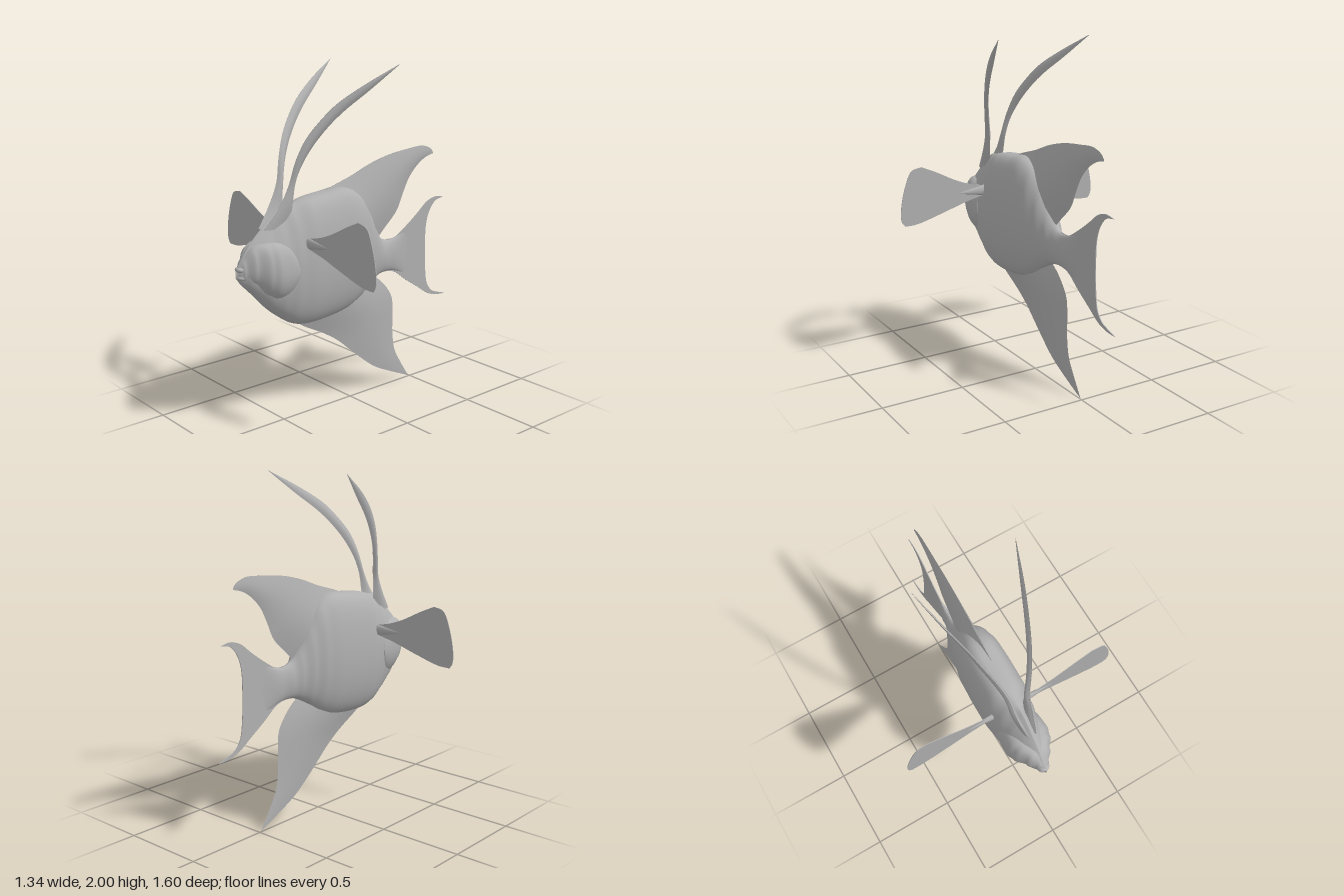
import * as THREE from 'three';

const grey = new THREE.MeshStandardMaterial({ color: 0xb0b0b0, side: THREE.DoubleSide });
grey.name = 'plain grey';

const curve = (pts) => new THREE.CatmullRomCurve3(pts.map((p) => new THREE.Vector3(...p)), false, 'centripetal');

function mesh(name, geometry) {
  const m = new THREE.Mesh(geometry, grey);
  m.name = name;
  return m;
}

// Smooth grid surface from a rule fn(u, v) -> [x, y, z]
function surface(nu, nv, fn, wrap = false) {
  const pos = [], idx = [], cols = wrap ? nv : nv + 1;
  for (let i = 0; i <= nu; i++) {
    for (let j = 0; j < cols; j++) pos.push(...fn(i / nu, j / nv));
  }
  for (let i = 0; i < nu; i++) {
    for (let j = 0; j < nv; j++) {
      const k = (j + 1) % cols;
      const a = i * cols + j, b = i * cols + k, c = a + cols, d = b + cols;
      idx.push(a, b, c, b, d, c);
    }
  }
  const g = new THREE.BufferGeometry();
  g.setAttribute('position', new THREE.Float32BufferAttribute(pos, 3));
  g.setIndex(idx);
  g.computeVertexNormals();
  return g;
}

// Loft along z; each section: [z, top, bottom, halfWidth, upper roundness power]
function loft(name, sections) {
  const a = curve(sections.map((s) => [s[0], s[1], s[2]]));
  const lerp = (t, k) => {
    const f = t * (sections.length - 1), i = Math.min(Math.floor(f), sections.length - 2);
    const e = f - i, s = e * e * (3 - 2 * e);
    return sections[i][k] * (1 - s) + sections[i + 1][k] * s;
  };
  return mesh(name, surface(72, 48, (u, v) => {
    const p = a.getPoint(u), w = lerp(u, 3), th = v * Math.PI * 2;
    const c = Math.cos(th), s = Math.sin(th);
    const power = s > 0 ? lerp(u, 4) : 0.85;
    const x = Math.sign(c) * w * Math.pow(Math.abs(c), power);
    return [x, (p.y + p.z) / 2 + s * (p.y - p.z) / 2, p.x];
  }, true));
}

// Blade between a leading and a trailing edge, lens-shaped across, thinning to its tip
function blade(name, lead, trail, thick, fade) {
  const group = new THREE.Group();
  group.name = name;
  const a = curve(lead), b = curve(trail);
  for (const side of [1, -1]) {
    group.add(mesh(name + 'Side', surface(40, 12, (u, v) => {
      const p = a.getPoint(u).lerp(b.getPoint(u), v);
      const t = thick * Math.pow(1 - u, fade) * Math.sin(Math.PI * v);
      return [p.x + side * (t + 0.001), p.y, p.z];
    })));
  }
  return group;
}

// Thin flat plate from an outline made of smooth runs that meet at corners
function plate(name, runs, depth) {
  const pts = [];
  for (const run of runs) {
    curve(run.map(([x, y]) => [x, y, 0])).getPoints(run.length * 4)
      .forEach((p) => pts.push(new THREE.Vector2(p.x, p.y)));
  }
  const clean = pts.filter((p, i) => i === 0 || p.distanceTo(pts[i - 1]) > 1e-4);
  const g = new THREE.ExtrudeGeometry(new THREE.Shape(clean), { depth, bevelEnabled: false });
  g.translate(0, 0, -depth / 2);
  return mesh(name, g);
}

export function createModel() {
  const model = new THREE.Group();
  model.name = 'fish';
  const zy = (pts) => pts.map(([z, y]) => [0, y, z]);

  // Deep, flattened body running into the tail stalk
  model.add(loft('body', [
    [0.8, 0.94, 0.9, 0.004, 1],
    [0.77, 0.99, 0.86, 0.03, 1.2],
    [0.72, 1.06, 0.81, 0.06, 1.6],
    [0.6, 1.175, 0.685, 0.1, 1.9],
    [0.52, 1.235, 0.62, 0.115, 1.8],
    [0.44, 1.255, 0.57, 0.13, 1.1],
    [0.34, 1.28, 0.55, 0.142, 0.7],
    [0.2, 1.295, 0.555, 0.142, 0.65],
    [0.07, 1.305, 0.575, 0.137, 0.65],
    [-0.03, 1.26, 0.615, 0.12, 0.7],
    [-0.11, 1.16, 0.67, 0.092, 0.8],
    [-0.18, 1.03, 0.715, 0.065, 0.9],
    [-0.24, 0.95, 0.735, 0.045, 1],
    [-0.32, 0.93, 0.735, 0.026, 1],
    [-0.48, 0.98, 0.68, 0.001, 1],
  ]));

  // Cheeks ending in raised gill covers
  model.add(loft('gillCovers', [
    [0.795, 0.95, 0.9, 0.004, 0.8],
    [0.76, 1.0, 0.865, 0.04, 0.7],
    [0.71, 1.06, 0.84, 0.078, 0.55],
    [0.64, 1.08, 0.77, 0.122, 0.5],
    [0.59, 1.082, 0.74, 0.138, 0.5],
    [0.53, 1.075, 0.73, 0.135, 0.5],
    [0.485, 1.04, 0.76, 0.133, 0.5],
    [0.466, 0.97, 0.83, 0.13, 0.6],
    [0.464, 0.93, 0.89, 0.1, 0.7],
  ]));

  // Lips
  for (const [y, z] of [[0.945, 0.772], [0.9, 0.768]]) {
    const lip = mesh('lip', new THREE.SphereGeometry(1, 20, 12));
    lip.scale.set(0.032, 0.018, 0.028);
    lip.position.set(0, y, z);
    model.add(lip);
  }

  // Back fin
  model.add(blade('dorsalFin',
    zy([[0.28, 1.26], [0.15, 1.31], [0, 1.355], [-0.15, 1.41], [-0.3, 1.447], [-0.45, 1.465], [-0.58, 1.472], [-0.65, 1.447], [-0.67, 1.425]]),
    zy([[-0.14, 0.93], [-0.21, 0.955], [-0.28, 1.015], [-0.37, 1.1], [-0.42, 1.2], [-0.47, 1.29], [-0.54, 1.36], [-0.61, 1.4], [-0.67, 1.415]]),
    0.06, 1.6));

  // Belly fin
  model.add(blade('analFin',
    zy([[0.44, 0.59], [0.35, 0.53], [0.2, 0.45], [0.1, 0.385], [0, 0.3], [-0.1, 0.215], [-0.2, 0.14], [-0.34, 0.07], [-0.49, 0.004]]),
    zy([[-0.14, 0.74], [-0.2, 0.715], [-0.28, 0.645], [-0.335, 0.56], [-0.345, 0.45], [-0.345, 0.33], [-0.365, 0.21], [-0.42, 0.11], [-0.49, 0]]),
    0.06, 1.8));

  // Forked tail, drawn with -z along the shape's x axis
  const tail = plate('tailFin', [
    [[0.2, 0.93], [0.28, 0.935], [0.35, 0.935], [0.45, 0.99], [0.55, 1.06], [0.63, 1.12], [0.7, 1.14], [0.77, 1.13]],
    [[0.77, 1.13], [0.7, 1.115], [0.65, 1.06], [0.622, 0.98], [0.615, 0.85], [0.62, 0.7], [0.638, 0.59], [0.68, 0.535], [0.74, 0.51], [0.8, 0.492]],
    [[0.8, 0.492], [0.74, 0.495], [0.66, 0.515], [0.55, 0.585], [0.45, 0.65], [0.35, 0.72], [0.27, 0.735], [0.2, 0.73]],
  ], 0.005);
  tail.rotation.y = Math.PI / 2;
  model.add(tail);

  for (const side of [1, -1]) {
    const name = side > 0 ? 'left' : 'right';

    // Paddle-shaped side fin with a flared root
    const fin = new THREE.Group();
    fin.name = name + 'PectoralFin';
    fin.add(plate('paddle', [
      [[0.12, 1.02], [0.25, 0.99], [0.4, 0.945], [0.57, 0.9], [0.645, 0.897]],
      [[0.645, 0.897], [0.662, 0.92], [0.67, 0.965], [0.65, 1.09], [0.605, 1.21], [0.585, 1.228], [0.53, 1.24]],
      [[0.53, 1.24], [0.44, 1.2], [0.3, 1.13], [0.2, 1.095], [0.12, 1.08]],
    ], 0.004));
    const root = mesh('finRoot', new THREE.ConeGeometry(0.035, 0.2, 20, 1, true));
    root.rotation.z = -Math.PI / 2;
    root.scale.z = 0.5;
    root.position.set(0.21, 1.05, 0);
    fin.add(root);
    fin.position.z = 0.4;
    fin.rotation.y = side > 0 ? 0 : Math.PI;
    model.add(fin);

    // Long swept-back head streamer
    const xs = [0.025, 0.045, 0.055, 0.075, 0.105, 0.14, 0.175, 0.23, 0.293];
    const streamer = (pts) => pts.map(([z, y], i) => [side * xs[i], y, z]);
    model.add(blade(name + 'Streamer',
      streamer([[0.63, 1.14], [0.545, 1.25], [0.483, 1.37], [0.45, 1.5], [0.4, 1.62], [0.33, 1.715], [0.245, 1.8], [0.1, 1.895], [-0.1, 2]]),
      streamer([[0.46, 1.14], [0.452, 1.25], [0.436, 1.38], [0.41, 1.47], [0.36, 1.57], [0.285, 1.67], [0.2, 1.755], [0.06, 1.865], [-0.1, 1.998]]),
      0.018, 0.6));
  }
  return model;
}
